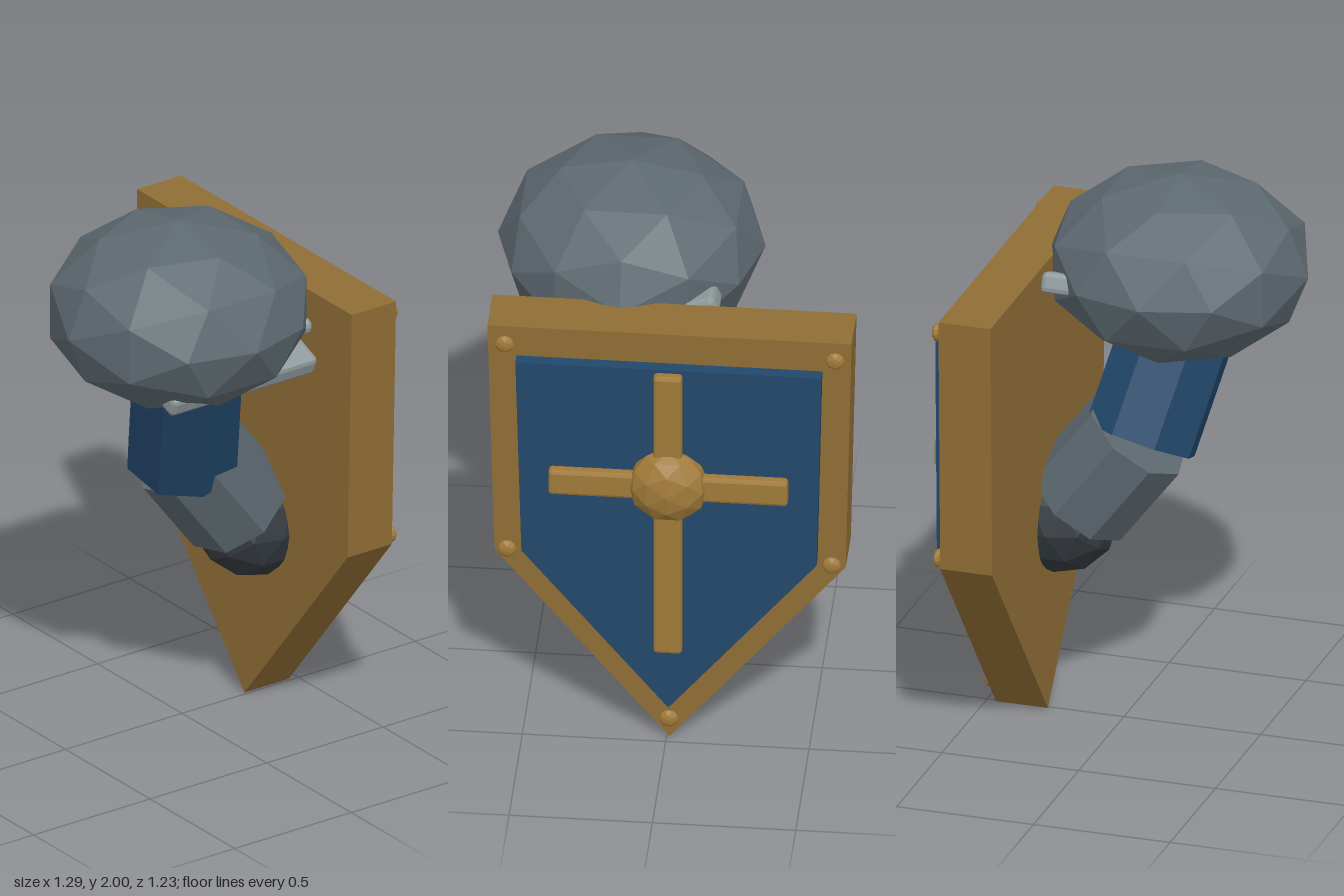
import * as THREE from 'three';
import { RoundedBoxGeometry } from 'three/addons/geometries/RoundedBoxGeometry.js';

const mat = (color) => new THREE.MeshStandardMaterial({ color, flatShading: true });

export function createModel() {
  const group = new THREE.Group();
  const wood = mat(0x8f6d35), gold = mat(0xa07a3a), blue = mat(0x22486b);
  const steel = mat(0x5d6970), dark = mat(0x33393e), pale = mat(0x8f999b);

  const add = (name, geometry, material, x = 0, y = 0, z = 0) => {
    const mesh = new THREE.Mesh(geometry, material);
    mesh.name = name;
    mesh.position.set(x, y, z);
    group.add(mesh);
    return mesh;
  };

  // Faceted ball stretched to three radii
  const ball = (name, material, [x, y, z], [rx, ry, rz]) =>
    add(name, new THREE.IcosahedronGeometry(1, 1).scale(rx, ry, rz), material, x, y, z);

  // Eight-sided limb segment between two points, twisted about its axis
  const limb = (name, material, low, high, radius, twist) => {
    const a = new THREE.Vector3(...low), b = new THREE.Vector3(...high);
    const geometry = new THREE.CylinderGeometry(radius, radius, a.distanceTo(b), 8);
    geometry.rotateY(THREE.MathUtils.degToRad(twist));
    const mesh = add(name, geometry, material);
    mesh.position.copy(a).add(b).multiplyScalar(0.5);
    mesh.quaternion.setFromUnitVectors(new THREE.Vector3(0, 1, 0), b.sub(a).normalize());
    return mesh;
  };

  // Pointed five-sided slab, shrunk about the middle of the shield
  const slab = (name, material, scale, back, depth) => {
    const outline = [[-0.645, 1.69], [-0.625, 0.75], [-0.01, 0], [0.6, 0.75], [0.625, 1.69]];
    const points = outline.map(([x, y]) =>
      new THREE.Vector2(-0.01 + (x + 0.01) * scale, 0.94 + (y - 0.94) * scale));
    const geometry = new THREE.ExtrudeGeometry(new THREE.Shape(points), { depth, bevelEnabled: false });
    return add(name, geometry, material, 0, 0, back);
  };

  // Shield
  slab('shieldBody', wood, 1, -0.465, 0.19);
  slab('shieldPanel', blue, 0.84, -0.51, 0.05);
  add('crossUpright', new RoundedBoxGeometry(0.1, 1.16, 0.045, 1, 0.012), gold, -0.01, 0.98, -0.525);
  add('crossBar', new RoundedBoxGeometry(0.835, 0.1, 0.045, 1, 0.012), gold, -0.012, 1.1, -0.532);
  ball('shieldBoss', gold, [-0.012, 1.1, -0.53], [0.143, 0.143, 0.085]);
  const rivets = [[-0.59, 1.63], [0.563, 1.63], [-0.578, 0.77], [0.555, 0.77], [-0.01, 0.09]];
  for (const [x, y] of rivets) ball('shieldRivet', gold, [x, y, -0.487], [0.034, 0.034, 0.018]);

  // Arm
  limb('upperArm', blue, [0.06, 1.03, 0.04], [0.25, 1.5, 0.155], 0.206, -15);
  limb('forearm', steel, [0.065, 0.77, -0.185], [0.065, 1.05, 0.03], 0.203, -9);
  ball('hand', dark, [0.065, 0.7, -0.245], [0.2, 0.2, 0.2]);

  // Shoulder guard with a tilted plate set into it
  ball('shoulderGuard', steel, [0.178, 1.667, 0.145], [0.467, 0.333, 0.47]);
  const plate = add('shoulderPlate', new RoundedBoxGeometry(0.65, 0.075, 0.62, 1, 0.018), pale, 0.147, 1.552, 0.055);
  plate.rotation.z = -0.38;
  ball('shoulderRivet', pale, [0.41, 1.58, -0.23], [0.028, 0.032, 0.022]);
  return group;
}
